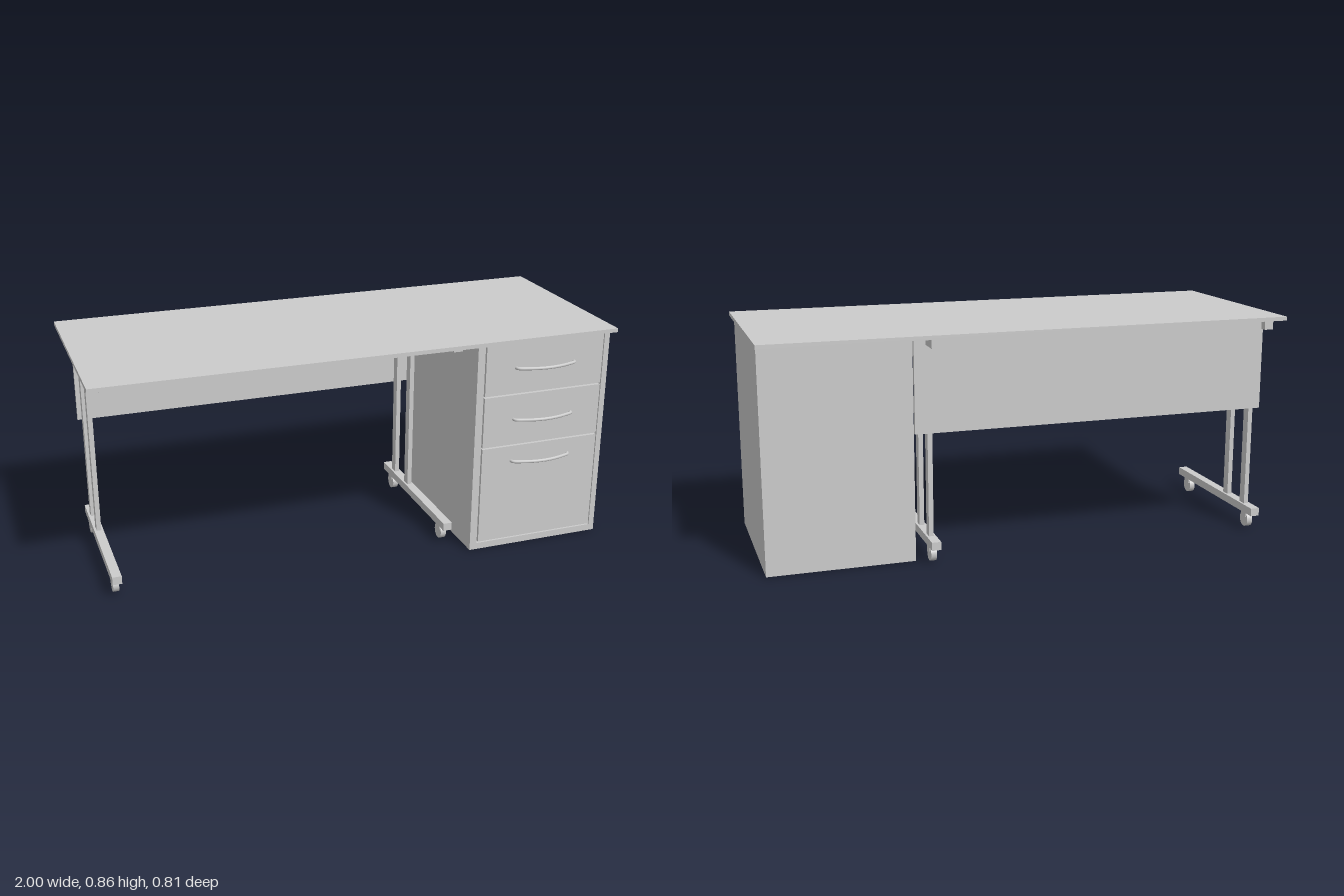
import * as THREE from 'three';

const material = new THREE.MeshStandardMaterial({ color: 0xcccccc });

// Box given by its extents along each axis
function box(parent, name, [x0, x1], [y0, y1], [z0, z1]) {
  const mesh = new THREE.Mesh(new THREE.BoxGeometry(x1 - x0, y1 - y0, z1 - z0), material);
  mesh.position.set((x0 + x1) / 2, (y0 + y1) / 2, (z0 + z1) / 2);
  mesh.name = name;
  parent.add(mesh);
  return mesh;
}

// Wheel under a foot, with a short fork block above it
function caster(z) {
  const group = new THREE.Group();
  group.name = 'caster';
  const wheel = new THREE.Mesh(new THREE.CylinderGeometry(0.03, 0.03, 0.022, 24), material);
  wheel.name = 'wheel';
  wheel.rotation.z = Math.PI / 2;
  wheel.position.y = 0.03;
  group.add(wheel);
  box(group, 'casterFork', [-0.014, 0.014], [0.042, 0.062], [-0.018, 0.018]);
  group.position.z = z;
  return group;
}

// T-shaped leg frame: foot, two posts, top beam and casters
function legFrame(x) {
  const group = new THREE.Group();
  group.name = 'legFrame';
  const w = 0.0175;
  box(group, 'foot', [-w, w], [0.06, 0.091], [-0.36, 0.28]);
  box(group, 'topBeam', [-w, w], [0.812, 0.845], [-0.395, 0.315]);
  for (const z of [-0.268, -0.13]) {
    box(group, 'post', [-0.009, 0.009], [0.09, 0.813], [z - 0.018, z + 0.018]);
  }
  for (const z of [-0.293, 0.213]) group.add(caster(z));
  group.position.x = x;
  return group;
}

// Bowed pull handle
function handle(y) {
  const points = [
    [-0.122, 0.36], [-0.118, 0.372], [-0.085, 0.385], [-0.045, 0.395], [0, 0.399],
    [0.045, 0.395], [0.085, 0.385], [0.118, 0.372], [0.122, 0.36],
  ].map(([x, z]) => new THREE.Vector3(0.715 + x, y, z));
  const curve = new THREE.CatmullRomCurve3(points);
  const mesh = new THREE.Mesh(new THREE.TubeGeometry(curve, 40, 0.0062, 10), material);
  mesh.name = 'drawerHandle';
  return mesh;
}

function drawerCabinet() {
  const group = new THREE.Group();
  group.name = 'drawerCabinet';
  // Body with a raised border around the drawer opening
  box(group, 'cabinetBody', [0.435, 0.985], [0.002, 0.845], [-0.288, 0.346]);
  const rim = [0.346, 0.361];
  box(group, 'frameRight', [0.435, 0.464], [0.002, 0.845], rim);
  box(group, 'frameLeft', [0.963, 0.985], [0.002, 0.845], rim);
  box(group, 'frameBottom', [0.464, 0.963], [0.002, 0.028], rim);
  box(group, 'frameTop', [0.464, 0.963], [0.841, 0.845], rim);
  // Drawers from bottom to top
  const drawers = [
    { y: [0.034, 0.424], handleY: 0.362 },
    { y: [0.43, 0.632], handleY: 0.534 },
    { y: [0.638, 0.838], handleY: 0.74 },
  ];
  for (const d of drawers) {
    box(group, 'drawerFront', [0.469, 0.958], d.y, [0.346, 0.363]);
    group.add(handle(d.handleY));
  }
  return group;
}

export function createModel() {
  const desk = new THREE.Group();
  desk.name = 'desk';
  box(desk, 'tableTop', [-1, 1], [0.845, 0.86], [-0.405, 0.39]);
  box(desk, 'modestyPanel', [-0.954, 0.436], [0.488, 0.845], [-0.31, -0.295]);
  box(desk, 'rearRail', [-0.912, 0.358], [0.812, 0.845], [-0.37, -0.337]);
  for (const x of [-0.93, 0.375]) desk.add(legFrame(x));
  desk.add(drawerCabinet());
  return desk;
}
